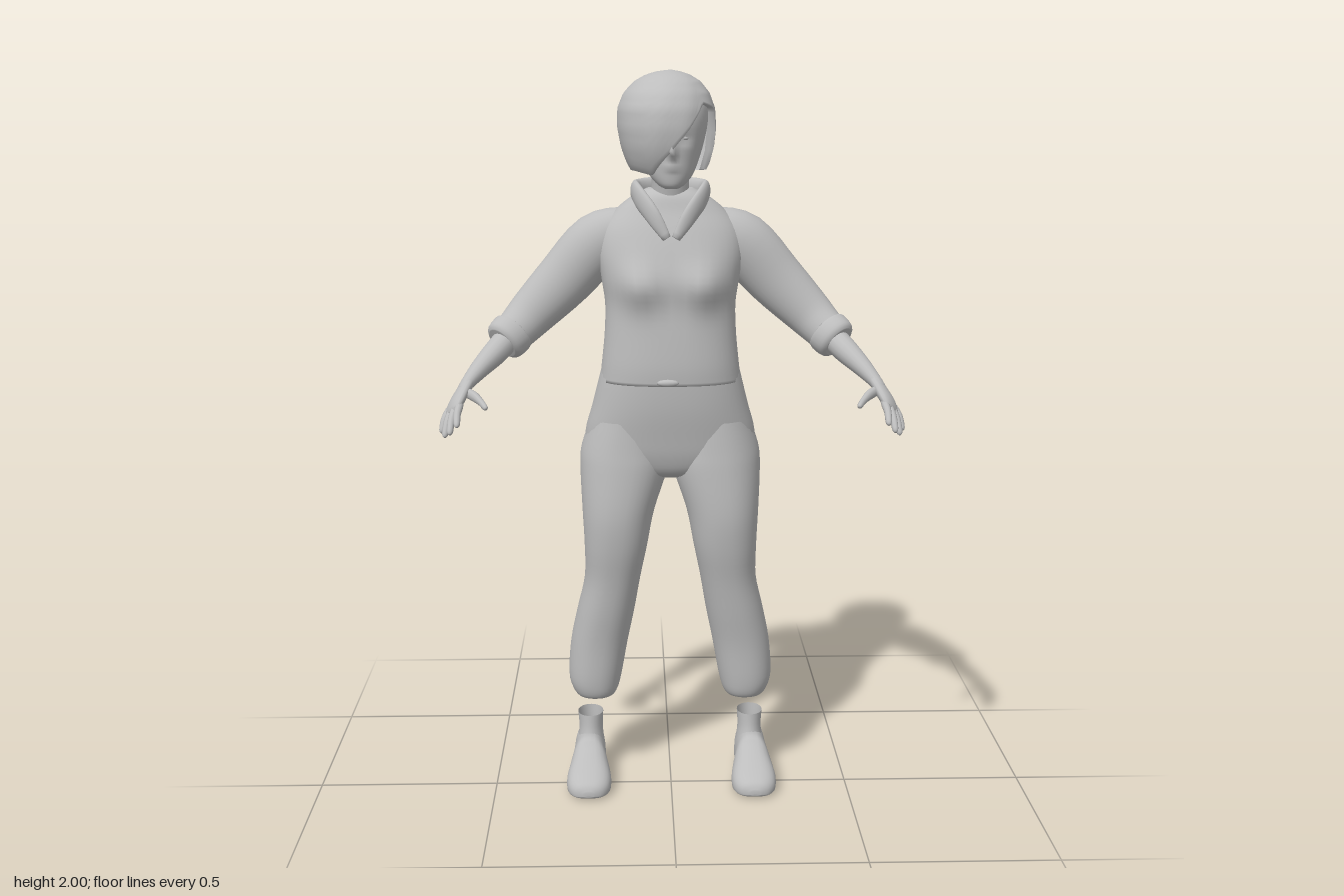
import * as THREE from 'three';

const grey = new THREE.MeshStandardMaterial({ color: 0xbdbdbd, side: THREE.DoubleSide });
grey.name = 'plain grey';
const V = (x, y, z) => new THREE.Vector3(x, y, z);

// Catmull-Rom refinement of rows of numbers
function smooth(rows, n = 4) {
  const out = [], last = rows.length - 1;
  for (let i = 0; i < last; i++) {
    const [a, b, c, d] = [rows[Math.max(i - 1, 0)], rows[i], rows[i + 1], rows[Math.min(i + 2, last)]];
    for (let k = 0; k < n; k++) {
      const t = k / n;
      out.push(b.map((_, j) => b[j] + 0.5 * t * (c[j] - a[j] + t * (2 * a[j] - 5 * b[j] + 4 * c[j] - d[j]
        + t * (3 * (b[j] - c[j]) + d[j] - a[j])))));
    }
  }
  out.push(rows[last]);
  return out;
}

// Closed-around skin over rings of points, optionally capped, facing outward
function skin(rings, cap = true) {
  const m = rings[0].length, pts = rings.flat(), idx = [];
  for (let r = 0; r < rings.length - 1; r++) for (let i = 0; i < m; i++) {
    const a = r * m + i, b = r * m + (i + 1) % m;
    idx.push(a, b, a + m, b, b + m, a + m);
  }
  if (cap) [0, rings.length - 1].forEach((r, e) => {
    const c = pts.length;
    pts.push(rings[r].reduce((s, p) => s.add(p), V(0, 0, 0)).divideScalar(m));
    for (let i = 0; i < m; i++) {
      const a = r * m + i, b = r * m + (i + 1) % m;
      e ? idx.push(a, b, c) : idx.push(b, a, c);
    }
  });
  const mid = pts.reduce((s, p) => s.add(p), V(0, 0, 0)).divideScalar(pts.length);
  let volume = 0;
  for (let i = 0; i < idx.length; i += 3) {
    const [p, q, w] = [0, 1, 2].map(k => pts[idx[i + k]].clone().sub(mid));
    volume += p.dot(q.cross(w));
  }
  if (volume < 0) idx.reverse();
  const g = new THREE.BufferGeometry().setFromPoints(pts);
  g.setIndex(idx);
  g.computeVertexNormals();
  return g;
}

const power = (v, e) => Math.sign(v) * Math.abs(v) ** e;
const around = (n, f) => Array.from({ length: n }, (_, i) => f(Math.PI * 2 * i / n));

// Horizontal cross-sections: [y, xMin, xMax, zFront, zBack]
function stack(rows, { s = 1, e = 0.85, cap = true, bump = () => 0, n = 40 } = {}) {
  return skin(smooth(rows).map(([y, x0, x1, zf, zb]) => around(n, a => {
    const x = (x0 + x1) / 2 + (x1 - x0) / 2 * power(Math.sin(a), e);
    const z = (zf + zb) / 2 + (zf - zb) / 2 * power(Math.cos(a), e);
    return V(s * x, y, z + bump(x, y, Math.cos(a)));
  })), cap);
}

// Oval limb along a path: [x, y, z, halfWidth, halfThickness]; side is the width direction
function limb(rows, side, s = 1, cap = true, n = 16) {
  const fine = smooth(rows), c = fine.map(r => V(r[0], r[1], r[2]));
  return skin(fine.map((r, i) => {
    const t = c[Math.min(i + 1, c.length - 1)].clone().sub(c[Math.max(i - 1, 0)]).normalize();
    const u = side.clone().addScaledVector(t, -side.dot(t)).normalize(), w = t.cross(u);
    return around(n, a => {
      const p = c[i].clone().addScaledVector(u, r[3] * Math.cos(a)).addScaledVector(w, r[4] * Math.sin(a));
      p.x *= s;
      return p;
    });
  }), cap);
}

// Linear lookup in a table keyed by its first column
function lookup(rows, k) {
  let i = 0;
  while (i < rows.length - 2 && k > rows[i + 1][0]) i++;
  const t = Math.min(1, Math.max(0, (k - rows[i][0]) / (rows[i + 1][0] - rows[i][0])));
  return rows[i].map((v, j) => v + (rows[i + 1][j] - v) * t);
}

const bell = (dx, dy, w, h) => Math.exp(-dx * dx / (w * w) - dy * dy / (h * h));
const even = rows => rows.map(([y, w, f, b]) => [y, -w, w, f, b]);

export function createModel() {
  const model = new THREE.Group();
  const add = (name, g, parent = model) => {
    const mesh = new THREE.Mesh(g, grey);
    mesh.name = name;
    parent.add(mesh);
    return mesh;
  };

  // Jacket body with bust
  add('jacket', stack(even([[1.17, .194, .055, -.203], [1.22, .188, .057, -.197], [1.3, .18, .052, -.19],
    [1.38, .178, .045, -.19], [1.45, .188, .045, -.2], [1.52, .198, .03, -.205], [1.58, .188, .008, -.2],
    [1.63, .15, -.015, -.187], [1.67, .1, -.03, -.165], [1.69, .06, -.05, -.14]]), {
    bump: (x, y, f) => f > 0 ? f * .035 * bell(Math.abs(x) - .09, y - 1.435, .055, .06)
      : f * -.012 * bell(x, y - 1.45, .03, .15)
  }));

  // Trouser seat
  add('trouserSeat', stack(even([[1.24, .18, .048, -.188], [1.18, .195, .05, -.2], [1.1, .215, .045, -.22],
    [1.02, .236, .032, -.235], [.96, .23, .02, -.23], [.915, .15, 0, -.19], [.895, .05, -.04, -.13]]), {
    bump: (x, y, f) => f < 0 ? f * .025 * bell(Math.abs(x) - .1, y - 1.01, .07, .09) : 0
  }));
  const knot = add('waistTie', new THREE.SphereGeometry(1, 12, 8));
  knot.scale.set(.03, .01, .01);
  knot.position.set(-.01, 1.18, .056);

  // Collar running from the V opening round the back of the neck
  const half = [[.012, 1.565, .035, .012, .01], [.05, 1.625, .02, .024, .012], [.088, 1.675, -.03, .03, .013],
    [.085, 1.685, -.1, .028, .014]];
  const flip = half.map(([x, ...r]) => [-x, ...r]).reverse();
  add('collar', limb([...half, [0, 1.69, -.155, .027, .014], ...flip], V(0, 1, 0)));

  for (const s of [1, -1]) {
    const side = new THREE.Group();
    side.name = s > 0 ? 'leftLimbs' : 'rightLimbs';
    model.add(side);
    const put = (name, g) => add(name, g, side);

    // Trouser leg with a gathered, open hem
    put('trouserLeg', stack([[1.06, .02, .218, .02, -.22], [.98, .002, .247, .028, -.245], [.92, .005, .252, .034, -.228],
      [.8, .045, .247, .04, -.19], [.7, .065, .242, .03, -.163], [.6, .085, .243, .01, -.172], [.5, .102, .265, -.005, -.19],
      [.4, .122, .285, -.02, -.196], [.3, .14, .292, -.027, -.195], [.255, .152, .28, -.035, -.182],
      [.238, .165, .265, -.048, -.168], [.25, .178, .253, -.06, -.155]], { s, cap: false, e: .9 }));

    // Shoe with flat sole, lofted heel to toe: [z, halfWidth, bottom, top]
    put('shoe', skin(smooth([[-.172, .014, .04, .085], [-.162, .035, .01, .122], [-.13, .044, .003, .132],
      [-.08, .046, .003, .128], [-.03, .049, .003, .128], [0, .056, .002, .106], [.05, .063, .002, .082],
      [.09, .058, .003, .062], [.115, .04, .006, .046], [.125, .014, .013, .028]]).map(([z, w, b, t]) => around(28, a => {
      const up = Math.sin(a), sole = .35 * (t - b);
      return V(s * (.234 + w * power(Math.cos(a), .8)), b + sole + (up > 0 ? t - b - sole : sole) * power(up, up > 0 ? .9 : .5), z);
    }))));
    put('sock', stack([[.09, .192, .27, -.04, -.155], [.135, .197, .265, -.055, -.152], [.18, .195, .268, -.06, -.153]],
      { s, cap: false, e: 1, n: 24 }));

    // Sleeve, rolled cuff and forearm
    const tilt = V(.7, .7, 0);
    put('sleeve', limb([[.11, 1.575, -.11, .065, .06], [.195, 1.54, -.112, .083, .074], [.29, 1.44, -.105, .078, .064],
      [.375, 1.355, -.085, .066, .056], [.42, 1.31, -.055, .057, .05], [.45, 1.285, -.025, .053, .044]], tilt, s, true, 28));
    put('cuff', limb([[.425, 1.307, -.052, .054, .047], [.43, 1.302, -.047, .061, .053], [.45, 1.285, -.023, .058, .049],
      [.457, 1.279, -.015, .045, .037]], tilt, s, true, 24));
    put('forearm', limb([[.43, 1.3, -.05, .035, .035], [.47, 1.262, .01, .036, .034], [.51, 1.225, .065, .029, .026],
      [.54, 1.193, .108, .022, .018], [.552, 1.175, .13, .026, .015]], V(-.5, .4, .8), s));

    // Hand: palm, four fingers and thumb
    put('palm', limb([[.535, 1.2, .1, .019, .016], [.552, 1.174, .13, .029, .016], [.566, 1.15, .158, .036, .016],
      [.574, 1.133, .176, .034, .012], [.578, 1.127, .184, .022, .006]], V(-.5, .4, .75), s));
    const fingers = [[.554, 1.147, .185, .556, 1.105, .252], [.566, 1.138, .178, .576, 1.083, .24],
      [.577, 1.128, .168, .592, 1.07, .214], [.586, 1.125, .153, .603, 1.075, .183]];
    for (const [x, y, z, a, b, c] of fingers) {
      const at = (t, lift, r) => [x + (a - x) * t + lift * .5, y + (b - y) * t + lift, z + (c - z) * t, r, r];
      put('finger', limb([at(-.2, 0, .009), at(.1, .003, .0105), at(.5, .006, .0095), at(.9, .002, .008), at(1, 0, .003)],
        V(-.5, .4, .75), s, true, 10));
    }
    put('thumb', limb([[.548, 1.175, .128, .013, .011], [.52, 1.168, .158, .014, .011], [.5, 1.158, .185, .01, .009],
      [.486, 1.148, .211, .008, .007], [.483, 1.145, .217, .003, .003]], V(0, 1, 0), s, true, 10));
  }

  // Neck and head; brow, nose, mouth and eye sockets are shaped into the face
  add('neck', limb([[0, 1.58, -.1, .062, .055], [0, 1.66, -.085, .052, .05], [0, 1.78, -.06, .05, .05]], V(1, 0, 0), 1, true, 24));
  add('head', stack(even([[1.695, .018, .045, .0], [1.705, .036, .055, -.03], [1.73, .058, .06, -.08], [1.77, .075, .063, -.13],
    [1.82, .09, .066, -.155], [1.88, .1, .066, -.17], [1.93, .092, .045, -.16], [1.97, .05, 0, -.11]]), {
    e: .95, n: 64,
    bump: (x, y, f) => f < .5 ? 0 : .022 * bell(x, y - 1.79, .011, .016) + .01 * bell(x, y - 1.815, .009, .025)
      + .008 * bell(x, y - 1.752, .02, .008) - .01 * bell(Math.abs(x) - .034, y - 1.826, .018, .011)
  }));
  for (const s of [1, -1]) {
    const eye = add('eye', new THREE.SphereGeometry(.012, 14, 10));
    eye.scale.y = .6;
    eye.position.set(s * .034, 1.826, .043);
  }

  // Bob haircut with a sweeping fringe: hem height by angle, outline by height
  const hem = [[-180, 1.745], [-120, 1.74], [-60, 1.74], [-28, 1.73], [0, 1.785], [25, 1.85], [48, 1.915], [74, 1.9],
    [90, 1.74], [130, 1.735], [180, 1.745]];
  const outline = [[1.72, -.095, .085, .045, -.13], [1.76, -.118, .105, .07, -.165], [1.8, -.132, .116, .084, -.19],
    [1.85, -.141, .122, .09, -.206], [1.9, -.141, .119, .084, -.21], [1.94, -.125, .104, .062, -.193],
    [1.97, -.097, .08, .03, -.16], [1.987, -.066, .052, -.002, -.125], [1.996, -.036, .024, -.03, -.09], [2, 0, 0, -.05, -.05]];
  const rows = 24;
  add('hair', skin(Array.from({ length: rows + 3 }, (_, i) => around(72, a => {
    const t = Math.min(i / rows, 1), deg = a > Math.PI ? a * 180 / Math.PI - 360 : a * 180 / Math.PI;
    const y = 2 - (2 - lookup(hem, deg)[1]) * t ** 1.6;
    const [, x0, x1, zf, zb] = lookup(outline, y), tuck = 1 - .09 * Math.max(0, i - rows);
    const cx = (x0 + x1) / 2, cz = (zf + zb) / 2;
    const strand = 1 + .006 * Math.sin(9 * a + 5 * t) * t;
    return V(cx + (x1 - x0) / 2 * Math.sin(a) * tuck * strand, y, cz + (zf - zb) / 2 * Math.cos(a) * tuck * strand);
  })), false));
  return model;
}
